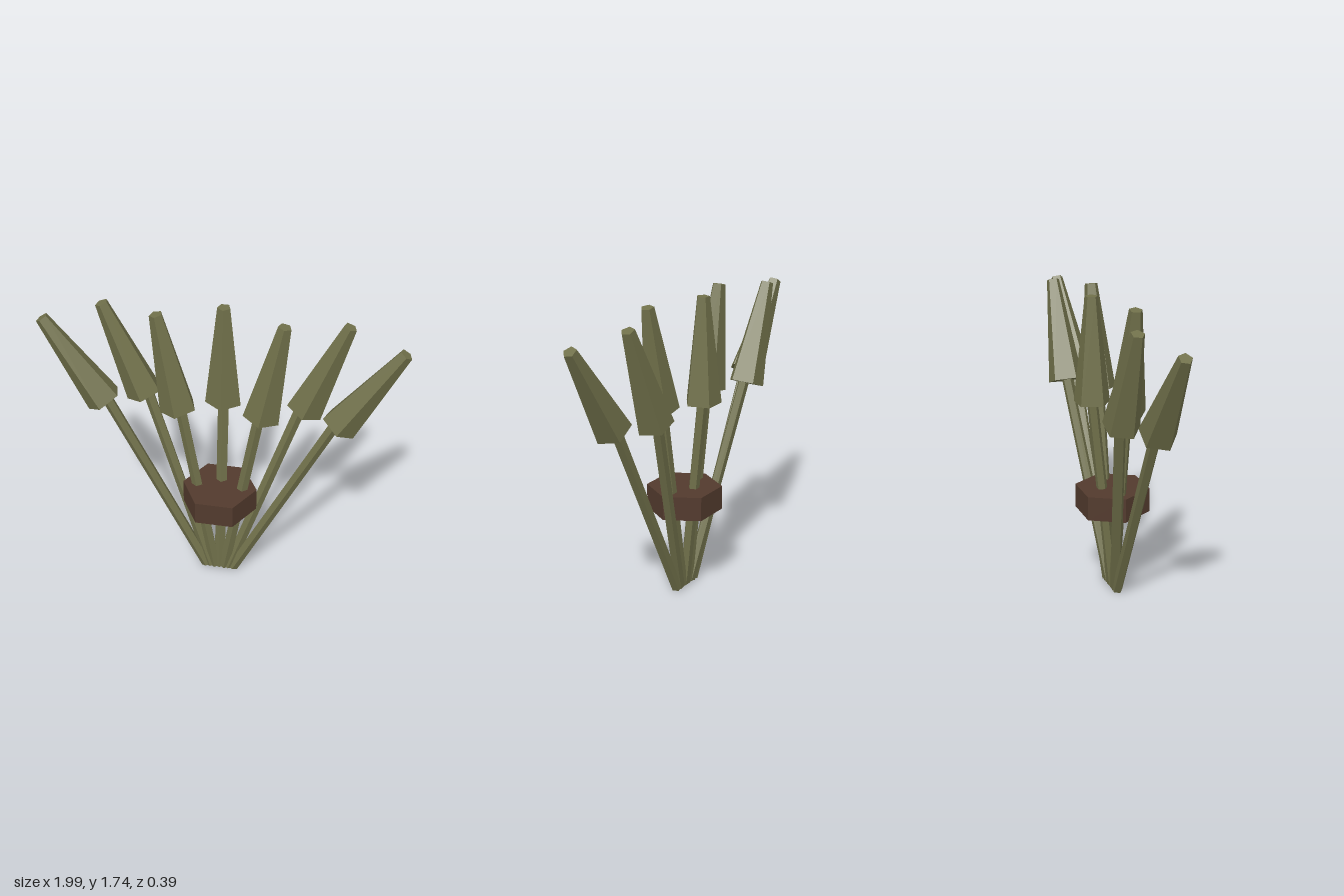
import * as THREE from 'three';

const SIDES = 5;
const Z0 = 0.01;      // depth of the front row and of all shaft feet
const Z_BACK = -0.11; // depth of the heads in the back row

// five-sided tapered bar between two points, one ridge facing +z
function bar(name, from, to, r0, r1, material) {
  const dir = new THREE.Vector3().subVectors(to, from);
  const mesh = new THREE.Mesh(new THREE.CylinderGeometry(r1, r0, dir.length(), SIDES), material);
  mesh.position.copy(from).addScaledVector(dir, 0.5);
  mesh.quaternion.setFromUnitVectors(new THREE.Vector3(0, 1, 0), dir.normalize());
  mesh.name = name;
  return mesh;
}

export function createModel() {
  const model = new THREE.Group();
  model.name = 'spearBundle';
  const olive = new THREE.MeshStandardMaterial({ color: 0x70704a, flatShading: true });
  olive.name = 'olive';
  const brown = new THREE.MeshStandardMaterial({ color: 0x523a2d, flatShading: true });
  brown.name = 'brown';

  // spears fan out from the middle, alternating between back and front row
  const spears = [
    { foot: 0, neck: 0, base: [0, 1.145], tip: [0, 1.74], z: Z_BACK },
    { foot: 0.028, neck: 0.222, base: [0.23, 1.147], tip: [0.34, 1.73], z: Z0 },
    { foot: 0.054, neck: 0.435, base: [0.45, 1.145], tip: [0.667, 1.695], z: Z_BACK },
    { foot: 0.08, neck: 0.64, base: [0.65, 1.15], tip: [0.967, 1.64], z: Z0 },
  ];
  spears.forEach((s, i) => {
    for (const side of i === 0 ? [1] : [-1, 1]) {
      const p = (x, y, z) => new THREE.Vector3(side * x, y, z);
      const spear = new THREE.Group();
      spear.name = 'spear';
      spear.add(
        bar('shaft', p(s.foot, 0.013, Z0), p(s.neck, 1.17, s.z), 0.032, 0.032, olive),
        bar('spearHead', p(...s.base, s.z), p(...s.tip, s.z), 0.105, 0.037, olive),
      );
      model.add(spear);
    }
  });

  // hexagonal binding block, flat side to the front
  const binding = new THREE.Mesh(new THREE.CylinderGeometry(0.214, 0.214, 0.14, 6), brown);
  binding.rotation.y = Math.PI / 6;
  binding.position.set(0, 0.56, Z0);
  binding.name = 'binding';
  model.add(binding);

  return model;
}
